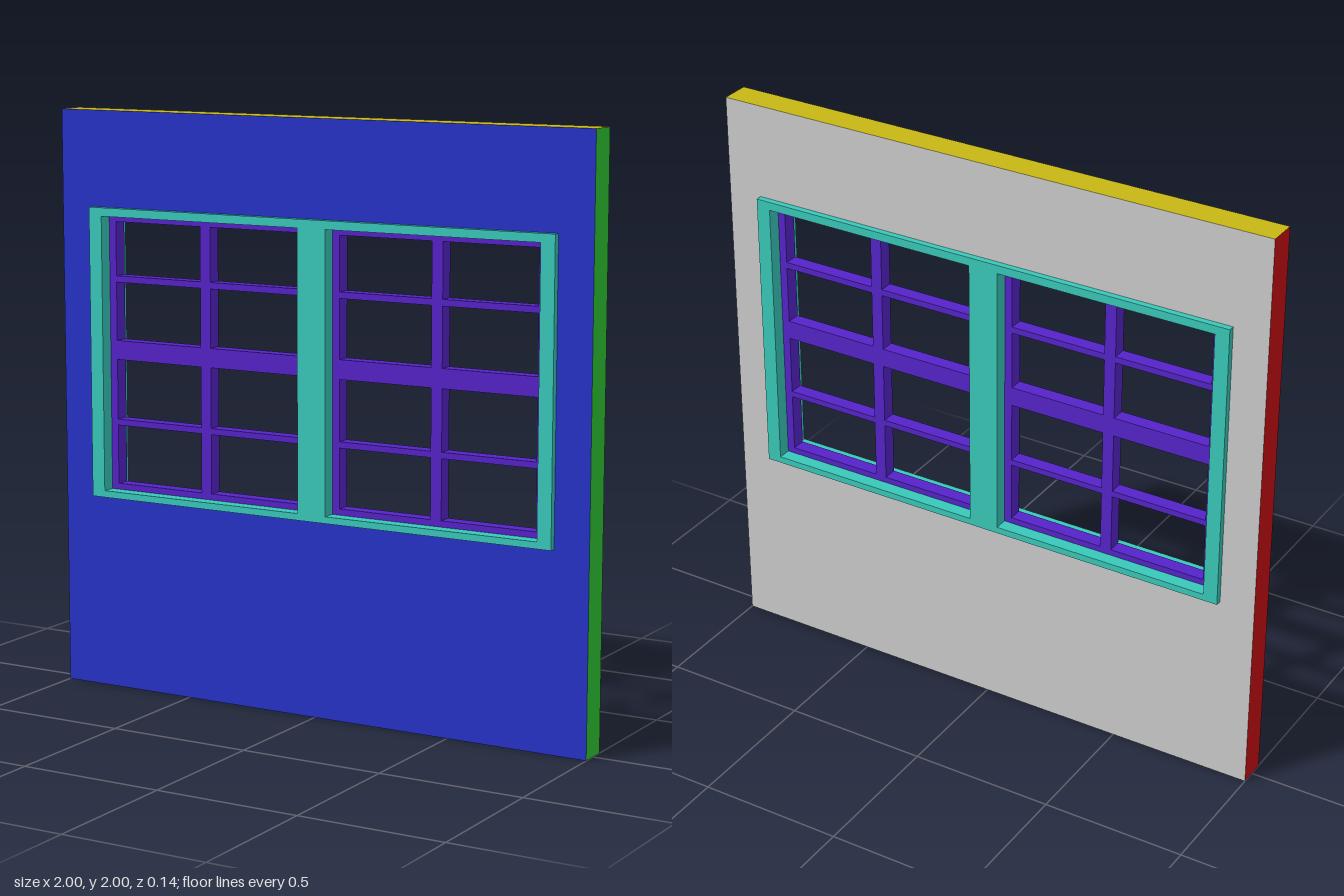
import * as THREE from 'three';

const material = (color) => new THREE.MeshStandardMaterial({ color });

function trace(path, [x0, y0, x1, y1]) {
  path.moveTo(x0, y0);
  path.lineTo(x1, y0);
  path.lineTo(x1, y1);
  path.lineTo(x0, y1);
  path.closePath();
  return path;
}

// Rectangular panel with rectangular openings, centred on z = 0
function panel(outer, openings, depth) {
  const shape = trace(new THREE.Shape(), outer);
  for (const o of openings) shape.holes.push(trace(new THREE.Path(), o));
  const geo = new THREE.ExtrudeGeometry(shape, { depth, bevelEnabled: false });
  return geo.translate(0, 0, -depth / 2);
}

function addMesh(parent, name, geo, mat) {
  const mesh = new THREE.Mesh(geo, mat);
  mesh.name = name;
  parent.add(mesh);
}

// One material per facing direction: +x, -x, +y, -y, +z, -z
function groupByFacing(geo) {
  geo.clearGroups();
  const n = geo.attributes.normal;
  for (let i = 0; i < n.count; i += 3) {
    const v = [n.getX(i), n.getY(i), n.getZ(i)];
    const axis = v.findIndex((c) => Math.abs(c) > 0.5);
    geo.addGroup(i, 3, axis * 2 + (v[axis] < 0 ? 1 : 0));
  }
  return geo;
}

export function createModel() {
  const model = new THREE.Group();
  model.name = 'wallWithWindows';

  // Wall, its opening edge hidden inside the frame
  const wall = groupByFacing(panel([-1, 0, 1, 2], [[-0.85, 0.684, 0.85, 1.657]], 0.1));
  const wallColors = [0x2dc832, 0xc80c13, 0xc8b715, 0xc8b715, 0x2632c8, 0xcccccc];
  addMesh(model, 'wall', wall, wallColors.map(material));

  // Window frame with a broad centre post
  const bottom = 0.695, top = 1.643, inner = 0.053, outer = 0.827;
  const frame = panel([-0.877, 0.672, 0.877, 1.672],
    [[-outer, bottom, -inner, top], [inner, bottom, outer, top]], 0.145);
  addMesh(model, 'windowFrame', frame, material(0x39c8b9));

  // Sashes: two columns and four rows of open panes
  const columns = [[inner + 0.027, 0.42], [0.46, outer - 0.027]];
  const rows = [[0.716, 0.92], [0.941, 1.148], [1.214, 1.415], [1.437, 1.622]];
  const panes = columns.flatMap(([x0, x1]) => rows.map(([y0, y1]) => [x0, y0, x1, y1]));
  const sashMaterial = material(0x5523c8);
  for (const [name, s] of [['leftSash', 1], ['rightSash', -1]]) {
    const flip = ([x0, y0, x1, y1]) => (s > 0 ? [x0, y0, x1, y1] : [-x1, y0, -x0, y1]);
    const sash = panel(flip([inner, bottom, outer, top]), panes.map(flip), 0.05);
    addMesh(model, name, sash, sashMaterial);
  }
  return model;
}
